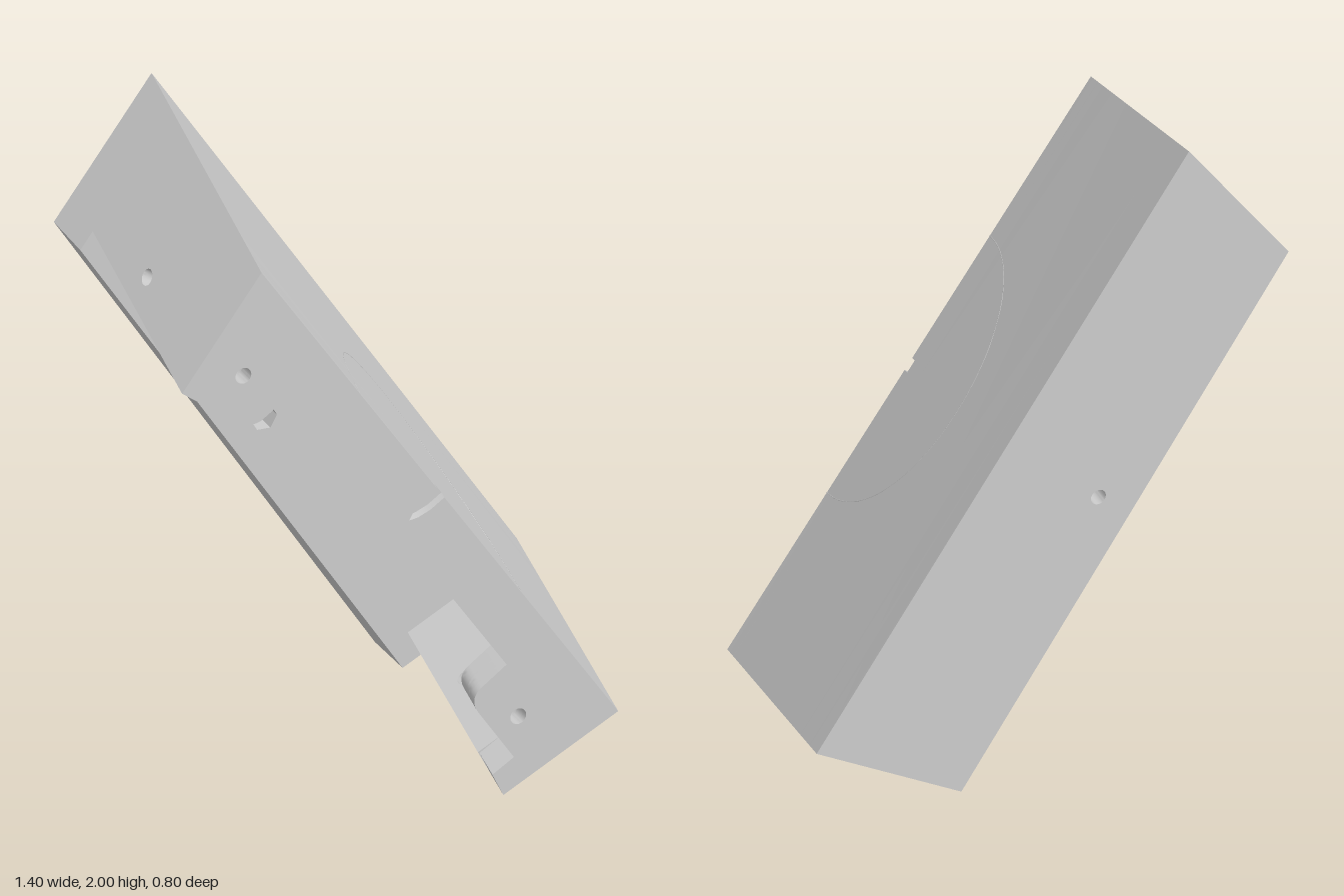
import * as THREE from 'three';
import { toCreasedNormals } from 'three/addons/utils/BufferGeometryUtils.js';

const V = (x, y) => new THREE.Vector2(x, y);
const add = (p, d, k) => p.clone().addScaledVector(d, k);

// Corners of the enclosure's section at the front (z = 0.4)
const A = V(-0.45, 1.77), B = V(0.627, 0.182), C = V(0.28, 0), D = V(-0.69, 1.45);
const along = B.clone().sub(A).normalize();
const out = V(-along.y, along.x);
const length = A.distanceTo(B);
const dirD = D.clone().sub(A).normalize();
const dirC = C.clone().sub(B).normalize();
const FRONT = 0.4, FRONT_IN = 0.3, BACK_IN = -0.25, BACK = -0.4;
const WALL = 0.083, LIP = 0.44;

// Skew of the section toward the back, constant along each end wall
function skew(x, y, z) {
  const rel = V(x - A.x, y - A.y);
  const depth = -rel.dot(out);
  const start = -depth * dirD.dot(along) / dirD.dot(out);
  const end = length - depth * dirC.dot(along) / dirC.dot(out);
  const u = (rel.dot(along) - start) / (end - start);
  const f = (FRONT - z) / 0.8;
  const d = V(f * (0.043 + 0.026 * u), f * (0.23 - 0.089 * u));
  // The underside of the back lip stays square to the back
  if (depth > LIP) d.addScaledVector(u < 0.5 ? dirD : dirC, -(1 - f) * 0.16);
  return d;
}

// Array entries are quadratic corners: control point, then end point
function makeShape(points) {
  const shape = new THREE.Shape();
  points.forEach((p, i) => {
    if (Array.isArray(p)) shape.quadraticCurveTo(...p);
    else if (i === 0) shape.moveTo(p.x, p.y);
    else shape.lineTo(p.x, p.y);
  });
  return shape;
}

function holePath(x, y, r, sides) {
  const path = new THREE.Path();
  for (let i = 0; i < sides; i++) {
    const a = (i / sides) * Math.PI * 2;
    path[i ? 'lineTo' : 'moveTo'](x + r * Math.cos(a), y + r * Math.sin(a));
  }
  path.closePath();
  return path;
}

function extrudeMapped(name, shape, depth, map) {
  const geo = new THREE.ExtrudeGeometry(shape, { depth, steps: 6, bevelEnabled: false, curveSegments: 8 });
  const pos = geo.attributes.position;
  for (let i = 0; i < pos.count; i++) pos.setXYZ(i, ...map(pos.getX(i), pos.getY(i), pos.getZ(i)));
  const mesh = new THREE.Mesh(
    toCreasedNormals(geo, 0.5),
    new THREE.MeshStandardMaterial({ color: 0xcccccc })
  );
  mesh.name = name;
  return mesh;
}

// Section extruded between two depths and skewed; holes stay straight
function prism(name, points, z0, z1, holes = []) {
  const shape = makeShape(points);
  const mid = (z0 + z1) / 2;
  const centres = holes.map(([x, y, r, sides]) => {
    const d = skew(x, y, mid);
    const c = V(x - d.x, y - d.y);
    shape.holes.push(holePath(c.x, c.y, r, sides));
    return { c, reach: r * 1.2 };
  });
  return extrudeMapped(name, shape, z1 - z0, (x, y, c) => {
    const inHole = centres.some((h) => h.c.distanceTo(V(x, y)) < h.reach);
    const d = skew(x, y, inHole ? mid : z0 + c);
    return [x + d.x, y + d.y, z0 + c];
  });
}

// End wall drawn in depth (z) and height (h), thickened along its normal
function endWall(name, origin, dir, h0, h1, c0, holeH) {
  const shape = makeShape([V(BACK_IN, h0), V(FRONT_IN, h0), V(FRONT_IN, h1), V(BACK_IN, h1)]);
  shape.holes.push(holePath(0.03, holeH, 0.022, 20));
  const normal = V(-dir.y, dir.x);
  return extrudeMapped(name, shape, WALL, (z, h, c) => {
    const p = add(add(origin, dir, h), normal, c0 + c);
    const d = skew(p.x, p.y, z);
    return [p.x + d.x, p.y + d.y, z];
  });
}

export function createModel() {
  const group = new THREE.Group();

  // Top plate
  const hA = 0.12, hB = 0.117;
  group.add(prism('topPlate', [A, add(A, dirD, hA), add(B, dirC, hB), B], BACK_IN, FRONT_IN));

  // End walls with a small side hole each
  group.add(endWall('upperEndWall', A, dirD, hA, A.distanceTo(D), 0, 0.32));
  group.add(endWall('lowerEndWall', B, dirC, hB, B.distanceTo(C), -WALL, 0.32));

  // Front panel: long cutout between two rounded screw tabs
  const E = add(A, along, length * 0.502);
  const panel = [
    B, C, V(0.247, 0.07), V(0.312, 0.11), V(0.205, 0.27),
    [0.175, 0.318, 0.215, 0.346], V(0.29, 0.4),
    V(-0.37, 1.37), V(-0.44, 1.322), [-0.475, 1.295, -0.505, 1.325],
    V(-0.59, 1.445), V(-0.622, 1.4), D, A,
  ];
  const groove = [
    add(E, along, -0.02),
    add(add(E, along, -0.02), out, -0.05),
    add(add(E, along, -0.012), out, -0.09),
    add(E, out, -0.115),
    add(add(E, along, 0.012), out, -0.09),
    add(add(E, along, 0.02), out, -0.05),
    add(E, along, 0.02),
  ];
  const screwHoles = (r) => [[-0.505, 1.465, r, 20], [0.325, 0.233, r, 20]];
  group.add(prism('frontPanelFace', [...panel, ...groove], 0.378, FRONT, screwHoles(0.024)));
  group.add(prism('frontPanelMiddle', panel, 0.345, 0.378, screwHoles(0.024)));
  group.add(prism('frontPanelBacking', panel, FRONT_IN, 0.345, screwHoles(0.038)));

  // Back panel: deeper lip, through hole with a hexagonal nut recess inside
  const backOutline = [A, B, add(B, dirC, 0.484), add(A, dirD, 0.492)];
  group.add(prism('backPanelOuter', backOutline, BACK, -0.33, [[-0.14, 0.955, 0.022, 20]]));
  group.add(prism('backPanelInner', backOutline, -0.33, BACK_IN, [[-0.14, 0.955, 0.04, 6]]));

  // Fine scored arc on the top plate
  const arc = [];
  for (let i = 0; i <= 24; i++) {
    const a = (i / 24) * Math.PI;
    const p = add(E, along, 0.43 * Math.cos(a));
    const z = FRONT - 0.42 * Math.sin(a);
    const d = skew(p.x, p.y, z);
    arc.push(new THREE.Vector3(p.x + d.x, p.y + d.y, z));
  }
  const score = new THREE.Mesh(
    new THREE.TubeGeometry(new THREE.CatmullRomCurve3(arc), 48, 0.0015, 4),
    new THREE.MeshStandardMaterial({ color: 0xcccccc })
  );
  score.name = 'scoredArc';
  group.add(score);

  return group;
}
